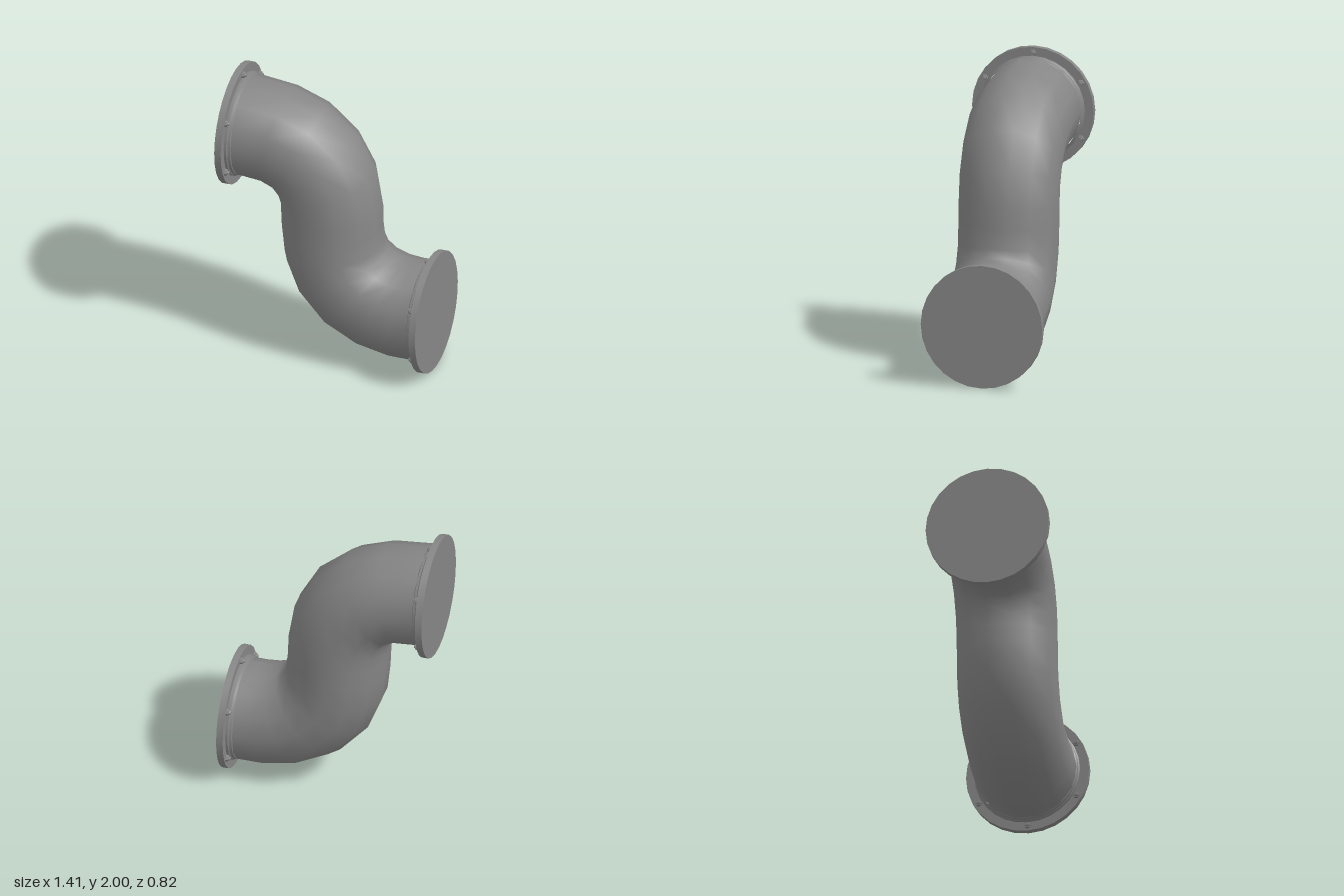
import * as THREE from 'three';
import { toCreasedNormals } from 'three/addons/utils/BufferGeometryUtils.js';

const material = new THREE.MeshStandardMaterial({ color: 0x868686 });
const PIPE_RADIUS = 0.338;
const PIPE_SIDES = 14;
const FLANGE_SIDES = 28;

// Stations along the S-bend: upper/right edge (x, y), then lower/left edge (x, y)
const STATIONS = [
  [-0.63, 1.925, -0.63, 1.257], [-0.6, 1.92, -0.6, 1.257],
  [-0.33, 1.89, -0.465, 1.245], [-0.09, 1.8, -0.4, 1.215],
  [0.13, 1.61, -0.375, 1.175], [0.26, 1.37, -0.361, 1.11],
  [0.302, 1.115, -0.357, 1.03], [0.305, 0.98, -0.352, 0.91],
  [0.32, 0.85, -0.332, 0.72], [0.345, 0.795, -0.24, 0.48],
  [0.39, 0.765, -0.05, 0.26], [0.465, 0.745, 0.19, 0.13],
  [0.54, 0.741, 0.43, 0.08], [0.63, 0.743, 0.63, 0.08],
];

// Skin of 14-sided cross-sections, with a flat side along the top and bottom edges
function pipeGeometry() {
  const positions = [], index = [];
  const flat = 2 * Math.cos(Math.PI / PIPE_SIDES);
  STATIONS.forEach(([ax, ay, bx, by], i) => {
    for (let j = 0; j < PIPE_SIDES; j++) {
      const a = ((j + 0.5) / PIPE_SIDES) * Math.PI * 2;
      const c = Math.cos(a) / flat;
      positions.push(
        (ax + bx) / 2 + (ax - bx) * c,
        (ay + by) / 2 + (ay - by) * c,
        PIPE_RADIUS * Math.sin(a));
      if (i === STATIONS.length - 1) continue;
      const k = (j + 1) % PIPE_SIDES, p = i * PIPE_SIDES, q = p + PIPE_SIDES;
      index.push(p + j, p + k, q + j, p + k, q + k, q + j);
    }
  });
  const g = new THREE.BufferGeometry();
  g.setAttribute('position', new THREE.Float32BufferAttribute(positions, 3));
  g.setIndex(index);
  g.computeVertexNormals();
  return g;
}

function addMesh(parent, name, geometry) {
  const mesh = new THREE.Mesh(geometry, material);
  mesh.name = name;
  parent.add(mesh);
  return mesh;
}

// Closed end plate with a stepped collar and six bolts; local +y points out of the pipe
function createFlange(name) {
  const flange = new THREE.Group();
  flange.name = name;
  const profile = [
    [0.335, -0.043], [0.342, -0.038], [0.345, -0.022], [0.353, -0.016], [0.353, 0],
    [0.412, 0], [0.412, 0.045], [0, 0.045],
  ].map(([r, y]) => new THREE.Vector2(r, y));
  addMesh(flange, 'endPlate', toCreasedNormals(new THREE.LatheGeometry(profile, FLANGE_SIDES), 0.5));

  for (let i = 0; i < 6; i++) {
    const a = (i / 6) * Math.PI * 2;
    const bolt = new THREE.Group();
    bolt.name = 'bolt';
    bolt.position.set(0.376 * Math.cos(a), 0, 0.376 * Math.sin(a));
    bolt.rotation.y = -a;
    addMesh(bolt, 'boltHead', toCreasedNormals(new THREE.CylinderGeometry(0.023, 0.021, 0.018, 6), 0.5))
      .position.y = -0.009;
    addMesh(bolt, 'boltTip', toCreasedNormals(new THREE.CylinderGeometry(0.014, 0.011, 0.012, 8), 0.5))
      .position.y = -0.024;
    flange.add(bolt);
  }
  return flange;
}

export function createModel() {
  const model = new THREE.Group();
  model.name = 'pipeBend';
  addMesh(model, 'pipe', pipeGeometry());

  // Each flange leans very slightly with the pipe end
  const upper = createFlange('upperFlange');
  upper.position.set(-0.657, 1.588, 0);
  upper.rotation.z = Math.PI / 2 - 0.007;
  const lower = createFlange('lowerFlange');
  lower.position.set(0.655, 0.413, 0);
  lower.rotation.z = -Math.PI / 2 + 0.009;
  model.add(upper, lower);
  return model;
}
